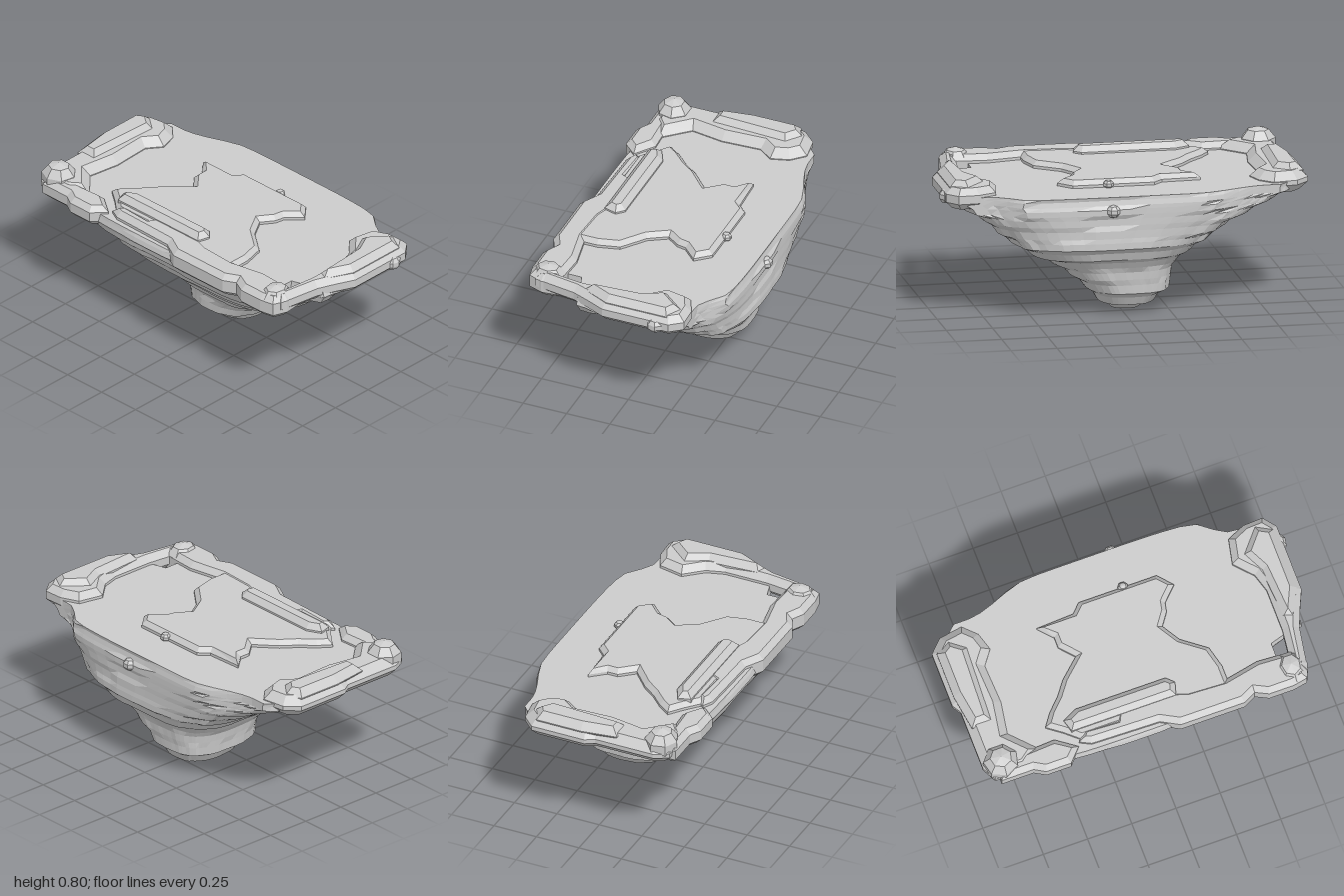
import * as THREE from 'three';

const material = new THREE.MeshStandardMaterial({ color: 0xcccccc, flatShading: true, side: THREE.DoubleSide });
const { lerp, clamp, smoothstep } = THREE.MathUtils;

// repeatable roughness in 0..1
function noise(a, b) {
  const s = Math.sin(a * 127.1 + b * 311.7) * 43758.5453;
  return s - Math.floor(s);
}

// height, left and right limits in x, back and front limits in z
const LAYERS = [
  [0, 0.06, 0.21, -0.11, 0.04],
  [0.045, -0.05, 0.32, -0.19, 0.12],
  [0.12, -0.15, 0.39, -0.27, 0.19],
  [0.2, -0.16, 0.4, -0.285, 0.28],
  [0.27, -0.23, 0.415, -0.31, 0.38],
  [0.33, -0.28, 0.48, -0.38, 0.5],
  [0.4, -0.33, 0.53, -0.47, 0.62],
  [0.46, -0.42, 0.53, -0.58, 0.69],
  [0.53, -0.48, 0.53, -0.7, 0.77],
  [0.59, -0.52, 0.53, -0.84, 0.88],
  [0.64, -0.54, 0.53, -0.94, 0.93],
  [0.685, -0.52, 0.51, -0.93, 0.9],
];

// terraced rock: two rings per layer, a steep riser and then a sloping tread
function rockGeometry(perSide = 18) {
  const sides = perSide * 4;
  const rings = [];
  LAYERS.forEach((layer, i) => {
    rings.push(layer);
    const next = LAYERS[i + 1];
    if (next) rings.push(layer.map((v, k) => lerp(v, next[k], k === 0 ? 0.6 : 0.35)));
  });
  const positions = [], index = [];
  rings.forEach(([y, x0, x1, z0, z1], r) => {
    const power = lerp(2.4, 4.2, y / 0.685);
    const rough = r > 0 && r < rings.length - 1 ? 0.035 : 0;
    for (let j = 0; j < sides; j++) {
      // walk round a square, then round its corners
      const t = (j % perSide) / perSide * 2 - 1;
      const [p, q] = [[1, t], [-t, 1], [-1, -t], [t, -1]][Math.floor(j / perSide)];
      const k = (1 - rough * noise(Math.floor(j / 3), r >> 1)) / (Math.abs(p) ** power + Math.abs(q) ** power) ** (1 / power);
      let z = (z0 + z1) / 2 + q * k * (z1 - z0) / 2;
      // flat flank with cut corners on the left
      const flank = z > 0 ? lerp(x1, Math.min(x1, 0.38), smoothstep(z, 0.5, 0.74))
        : lerp(x1, Math.min(x1, 0.4), smoothstep(-z, 0.35, 0.76));
      const x = clamp((x0 + x1) / 2 + p * k * (x1 - x0) / 2, -0.55, flank);
      // opening behind the front right corner
      if (y > 0.5 && x < -0.24) z = Math.min(z, 0.71);
      positions.push(x, y, z);
    }
  });
  for (let r = 0; r < rings.length - 1; r++) {
    for (let j = 0; j < sides; j++) {
      const a = r * sides + j, b = r * sides + (j + 1) % sides;
      index.push(a, a + sides, b, b, a + sides, b + sides);
    }
  }
  const low = positions.length / 3, high = low + 1, last = (rings.length - 1) * sides;
  positions.push(0.13, 0, -0.03, 0, 0.685, 0);
  for (let j = 0; j < sides; j++) {
    const n = (j + 1) % sides;
    index.push(low, j, n, high, last + n, last + j);
  }
  const geometry = new THREE.BufferGeometry();
  geometry.setAttribute('position', new THREE.Float32BufferAttribute(positions, 3));
  geometry.setIndex(index);
  geometry.computeVertexNormals();
  return geometry;
}

// chamfered slab from an outline of [x, z] points
function slabGeometry(outline, bottom, top, bevel) {
  const shape = new THREE.Shape(outline.map(([x, z]) => new THREE.Vector2(x, -z)));
  const geometry = new THREE.ExtrudeGeometry(shape, {
    depth: top - bottom - 2 * bevel,
    bevelThickness: bevel, bevelSize: bevel, bevelOffset: -bevel, bevelSegments: 1,
  });
  return geometry.rotateX(-Math.PI / 2).translate(0, bottom + bevel, 0);
}

export function createModel() {
  const group = new THREE.Group();
  const add = (name, geometry) => {
    const mesh = new THREE.Mesh(geometry, material);
    mesh.name = name;
    group.add(mesh);
    return mesh;
  };
  const slab = (name, outline, bottom, top, bevel) => add(name, slabGeometry(outline, bottom, top, bevel));
  const lump = (name, x, y, z, rx, ry, rz) => {
    const mesh = add(name, new THREE.SphereGeometry(1, 7, 5));
    mesh.position.set(x, y, z);
    mesh.scale.set(rx, ry, rz);
  };

  add('rockBody', rockGeometry());

  // raised middle of the deck, with notched ends
  slab('deckPanel', [
    [-0.45, -0.42], [-0.38, -0.5], [-0.32, -0.58], [-0.25, -0.53], [-0.18, -0.46], [-0.1, -0.4],
    [0, -0.29], [0.08, -0.36], [0.14, -0.36], [0.22, -0.43], [0.23, -0.22], [0.28, -0.17],
    [0.28, 0.27], [0.2, 0.34], [0.12, 0.26], [0.07, 0.25], [0, 0.2], [-0.1, 0.26],
    [-0.2, 0.39], [-0.32, 0.42], [-0.45, 0.42],
  ], 0.65, 0.725, 0.025);
  slab('panelRidge', [[-0.4, -0.46], [-0.33, -0.48], [-0.29, -0.4], [-0.29, 0.11], [-0.33, 0.15], [-0.4, 0.13]],
    0.68, 0.765, 0.03);

  // lips across both ends
  slab('backLip', [
    [-0.5, -0.93], [-0.42, -0.97], [-0.08, -0.97], [-0.03, -1], [0.28, -1], [0.35, -0.93], [0.37, -0.8],
    [0.3, -0.73], [0.2, -0.7], [0.12, -0.76], [-0.1, -0.75], [-0.28, -0.78], [-0.42, -0.65], [-0.5, -0.75],
  ], 0.62, 0.735, 0.045);
  slab('backLipCrest', [[-0.2, -0.95], [0, -0.98], [0.26, -0.98], [0.31, -0.9], [0.24, -0.81], [-0.2, -0.83]],
    0.68, 0.765, 0.04);
  slab('frontLip', [
    [-0.5, 0.84], [-0.26, 0.88], [-0.16, 0.92], [-0.06, 0.965], [0.32, 0.965], [0.39, 0.91], [0.385, 0.8],
    [0.34, 0.7], [0.2, 0.67], [0.1, 0.76], [0, 0.79], [-0.24, 0.79], [-0.5, 0.76],
  ], 0.62, 0.735, 0.035);
  slab('frontLipCrest', [[-0.2, 0.87], [-0.05, 0.94], [0.3, 0.94], [0.35, 0.85], [0.22, 0.74], [0.1, 0.8], [-0.18, 0.82]],
    0.68, 0.765, 0.035);
  lump('frontLipNub', 0.24, 0.67, 0.95, 0.05, 0.04, 0.04);

  // uneven rim along the right-hand edge
  slab('sideRim', [
    [-0.54, 0.82], [-0.555, 0.74], [-0.555, 0.6], [-0.52, 0.53], [-0.555, 0.46], [-0.555, 0.1],
    [-0.5, 0], [-0.49, -0.38], [-0.46, -0.44], [-0.4, -0.4], [-0.41, -0.22], [-0.37, -0.2],
    [-0.37, 0.14], [-0.39, 0.2], [-0.4, 0.4], [-0.36, 0.6], [-0.37, 0.78], [-0.36, 0.84], [-0.46, 0.85],
  ], 0.6, 0.73, 0.03);
  slab('backSideRim', [[-0.52, -0.9], [-0.52, -0.72], [-0.555, -0.66], [-0.555, -0.52], [-0.48, -0.45], [-0.4, -0.56], [-0.42, -0.9]],
    0.61, 0.725, 0.03);

  // knobs on the corners and flanks
  lump('backCornerKnob', -0.425, 0.71, -0.87, 0.095, 0.09, 0.1);
  lump('frontCornerKnob', -0.455, 0.675, 0.76, 0.1, 0.085, 0.085);
  lump('sideNub', 0.515, 0.61, 0.1, 0.04, 0.035, 0.04);
  lump('panelNub', 0.28, 0.7, 0.08, 0.03, 0.025, 0.03);
  return group;
}
